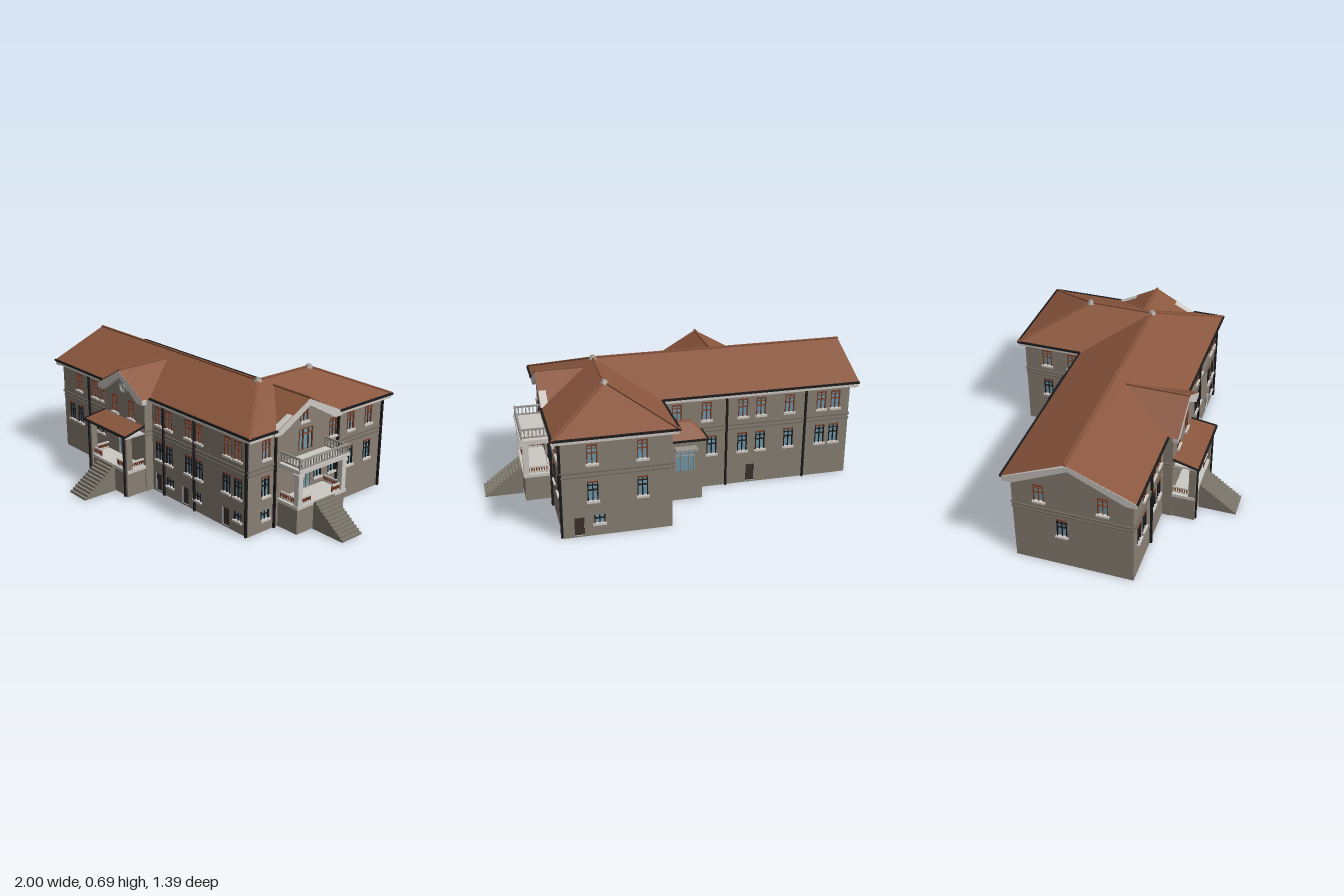
import * as THREE from 'three';

const mat = (name, color, side = THREE.FrontSide) => {
  const m = new THREE.MeshStandardMaterial({ color, side });
  m.name = name;
  return m;
};

export function createModel() {
  const D = THREE.DoubleSide;
  const wallM = mat('taupe wall', 0x898074, D), roofM = mat('terracotta roof', 0x8a563d, D);
  const trimM = mat('pale trim', 0xcdc8c3), glassM = mat('blue glass', 0x6f98aa, D);
  const blackM = mat('black metal', 0x1d1b1b), brownM = mat('red brown frame', 0x7c412b);
  const darkM = mat('dark door', 0x3b302c, D), stepM = mat('stair stone', 0x7f796e);
  const beltM = mat('belt stone', 0x716a60), stoneM = mat('grey stone', 0x9a958f);

  const model = new THREE.Group();
  model.name = 'building';
  const add = (parent, name, geo, m) => {
    const mesh = new THREE.Mesh(geo, m);
    mesh.name = name;
    parent.add(mesh);
    return mesh;
  };
  // Box given by its limits on each axis
  const box = (parent, name, m, x0, x1, y0, y1, z0, z1) => {
    const b = add(parent, name, new THREE.BoxGeometry(x1 - x0, y1 - y0, z1 - z0), m);
    b.position.set((x0 + x1) / 2, (y0 + y1) / 2, (z0 + z1) / 2);
    return b;
  };
  // Square bar between two points
  const bar = (parent, name, m, a, b, t) => {
    const p = new THREE.Vector3(...a), q = new THREE.Vector3(...b);
    const s = add(parent, name, new THREE.BoxGeometry(t, t, p.distanceTo(q)), m);
    s.position.copy(p).add(q).multiplyScalar(0.5);
    s.lookAt(q);
    return s;
  };
  // Flat faces, each a fan of corner points
  const faces = (parent, name, m, polys) => {
    const pos = [];
    for (const p of polys)
      for (let i = 1; i < p.length - 1; i++) pos.push(...p[0], ...p[i], ...p[i + 1]);
    const g = new THREE.BufferGeometry();
    g.setAttribute('position', new THREE.Float32BufferAttribute(pos, 3));
    g.computeVertexNormals();
    return add(parent, name, g, m);
  };

  // ---- Openings, drawn in the wall's own frame (x along, y up, z outwards)
  const pane = (wall, name, m, u, y, w, h) =>
    add(wall, name, new THREE.PlaneGeometry(w, h), m).position.set(u, y + h / 2, -0.006);
  const sash = (wall, [u, y, w, h], frame) => {
    const g = new THREE.Group();
    g.name = 'window';
    wall.add(g);
    pane(g, 'glass', glassM, u, y, w, h);
    const t = 0.005, a = u - w / 2, b = u + w / 2;
    box(g, 'leftJamb', frame, a, a + t, y, y + h, -0.007, 0.003);
    box(g, 'rightJamb', frame, b - t, b, y, y + h, -0.007, 0.003);
    box(g, 'mullion', frame, u - 0.002, u + 0.002, y, y + h, -0.007, 0.002);
    box(g, 'meetingRail', frame, a, b, y + h * 0.52, y + h * 0.52 + t, -0.007, 0.002);
    box(g, 'sill', trimM, a - 0.006, b + 0.006, y - 0.011, y, -0.007, 0.012);
    if (h > 0.07) {
      box(g, 'lintel', brownM, a, b, y + h - 0.008, y + h, -0.007, 0.004);
      box(g, 'upperBar', frame, a, b, y + h * 0.77, y + h * 0.77 + 0.003, -0.007, 0.002);
    }
  };
  const glassDoor = (wall, [u, y, w, h], frame) => {
    pane(wall, 'doorGlass', glassM, u, y, w, h);
    for (const k of [-0.5, -0.2, 0.2, 0.5])
      box(wall, 'doorFrame', frame, u + k * w - 0.002, u + k * w + 0.002, y, y + h, -0.007, 0.003);
    box(wall, 'doorTransom', frame, u - w / 2, u + w / 2, y + h * 0.75, y + h * 0.75 + 0.004, -0.007, 0.003);
    box(wall, 'doorHead', frame, u - w / 2, u + w / 2, y + h, y + h + 0.005, -0.007, 0.003);
  };

  // ---- One wall: outline with cut openings, windows, doors, belt and downpipes
  const facade = (name, at, turn, outline, o = {}) => {
    const wall = new THREE.Group();
    wall.name = name;
    wall.position.set(...at);
    wall.rotation.y = turn;
    model.add(wall);
    const shape = new THREE.Shape(outline.map(p => new THREE.Vector2(...p)));
    const cut = ([u, y, w, h]) => shape.holes.push(new THREE.Path([
      [u - w / 2, y], [u - w / 2, y + h], [u + w / 2, y + h], [u + w / 2, y]].map(p => new THREE.Vector2(...p))));
    const W = 0.053;
    const put = (list, draw, m) => (list || []).forEach(r => { cut(r); draw(wall, r, m); });
    put((o.upper || []).map(u => [u, 0.392, W, 0.1]), sash, brownM);
    put((o.lower || []).map(u => [u, 0.193, W, 0.105]), sash, blackM);
    put((o.low || []).map(u => [u, 0.068, 0.055, 0.045]), sash, blackM);
    put(o.attic, sash, brownM);
    put(o.glassDoors, glassDoor, stoneM);
    put(o.balconyDoors, glassDoor, brownM);
    put((o.doors || []).map(u => [u, 0.008, 0.05, 0.097]), (w, r) => pane(w, 'serviceDoor', darkM, ...r));
    if (o.round) {
      const [u, y, r] = o.round;
      shape.holes.push(new THREE.Path().absarc(u, y, r, 0, Math.PI * 2, true));
      add(wall, 'roundGlass', new THREE.CircleGeometry(r, 24), glassM).position.set(u, y, -0.006);
      add(wall, 'roundFrame', new THREE.TorusGeometry(r, 0.007, 6, 24), stoneM).position.set(u, y, 0);
      box(wall, 'roundBar', stoneM, u - r, u + r, y - 0.002, y + 0.002, -0.005, 0.002);
      box(wall, 'roundBar', stoneM, u - 0.002, u + 0.002, y - r, y + r, -0.005, 0.002);
    }
    add(wall, 'wallFace', new THREE.ShapeGeometry(shape, 24), wallM);
    const us = outline.map(p => p[0]), a = Math.min(...us), b = Math.max(...us);
    if (!o.plain) {
      box(wall, 'belt', beltM, a, b, 0.345, 0.352, 0, 0.008);
      box(wall, 'belt', beltM, a, b, 0.322, 0.328, 0, 0.005);
    }
    for (const u of o.pipes || []) box(wall, 'downpipe', blackM, u - 0.005, u + 0.005, 0, 0.52, 0, 0.012);
    return wall;
  };
  const rect = (a, b, h = 0.53) => [[a, 0], [b, 0], [b, h], [a, h]];
  const Q = Math.PI / 2;

  facade('frontWallWest', [0, 0, 0.32], 0, rect(-0.96, -0.465),
    { upper: [-0.79, -0.63, -0.545], lower: [-0.875, -0.79, -0.63, -0.545], pipes: [-0.685] });
  facade('frontWallEast', [0, 0, 0.32], 0, rect(-0.095, 0.66), {
    upper: [-0.035, 0.05, 0.21, 0.295, 0.515, 0.59], lower: [-0.035, 0.05, 0.21, 0.295, 0.505, 0.59],
    low: [0.055, 0.28, 0.59], doors: [-0.045, 0.18, 0.5], pipes: [0.008, 0.26, 0.653] });
  facade('frontGableWall', [0, 0, 0.37], 0,
    [[-0.465, 0], [-0.095, 0], [-0.095, 0.53], [-0.28, 0.643], [-0.465, 0.53]],
    { upper: [-0.36, -0.21], glassDoors: [[-0.28, 0.157, 0.11, 0.125]], round: [-0.28, 0.555, 0.032] });
  facade('frontGableSideWest', [-0.465, 0, 0], -Q, rect(0.32, 0.37));
  facade('frontGableSideEast', [-0.095, 0, 0], Q, rect(-0.37, -0.32));
  facade('eastWall', [0.66, 0, 0], Q,
    [[-0.32, 0], [0.66, 0], [0.66, 0.53], [0.27, 0.53], [0.055, 0.643], [-0.16, 0.53], [-0.32, 0.53]], {
      upper: [-0.205, 0.27, 0.405, 0.545], lower: [-0.205, 0.165, 0.27, 0.405, 0.545], low: [-0.205],
      attic: [[0.053, 0.525, 0.055, 0.075]], balconyDoors: [[0.07, 0.37, 0.095, 0.11]],
      glassDoors: [[0.065, 0.157, 0.1, 0.13]], pipes: [-0.145, 0.305, 0.65] });
  facade('wingBackWall', [0, 0, -0.66], Math.PI, rect(-0.66, -0.115),
    { upper: [-0.51, -0.265], lower: [-0.51, -0.265], low: [-0.48], doors: [-0.58] });
  facade('wingWestWall', [0.115, 0, 0], -Q, rect(-0.66, -0.29), { upper: [-0.53, -0.38], lower: [-0.53], low: [-0.53] });
  facade('mainBackWall', [0, 0, -0.29], Math.PI, rect(-0.115, 0.96), {
    upper: [0.0, 0.16, 0.36, 0.46, 0.62, 0.8, 0.88], lower: [0.19, 0.36, 0.46, 0.62, 0.8, 0.88],
    doors: [0.41], pipes: [0.27, 0.71] });
  facade('westWall', [-0.96, 0, 0], -Q, [[-0.29, 0], [0.32, 0], [0.32, 0.53], [0.015, 0.665], [-0.29, 0.53]],
    { upper: [-0.15, 0.17], lower: [-0.04] });

  // ---- L-shaped hipped roof, notched where the two gables run in
  const E = 0.535, R = 0.68, G = 0.655;
  const A = [-1, E, 0.35], B = [0.7, E, 0.35], C = [0.7, E, -0.69], Dn = [0.085, E, -0.69];
  const V = [0.085, E, -0.32], W = [-1, E, -0.32], P = [-1, R, 0.005], K = [0.385, R, 0.005], S = [0.39, R, -0.36];
  const f1 = [-0.49, E, 0.35], f2 = [-0.075, E, 0.35], fa = [-0.28, G, 0.064];
  const e1 = [0.7, E, 0.17], e2 = [0.7, E, -0.28], ea = [0.439, G, -0.055];
  faces(model, 'mainRoof', roofM, [
    [A, f1, fa, P], [f2, B, K, fa], [fa, K, P], [B, e1, ea, K], [ea, S, K], [e2, C, S, ea],
    [C, Dn, S], [Dn, V, K, S], [V, W, P, K]]);
  const fr = [-0.28, G, 0.4], er = [0.7, G, -0.055];
  faces(model, 'frontGableRoof', roofM, [[[-0.49, E, 0.4], fr, fa, f1], [fr, [-0.075, E, 0.4], f2, fa]]);
  faces(model, 'eastGableRoof', roofM, [[e1, er, ea], [er, e2, ea]]);
  for (const [a, b] of [[P, K], [K, S], [K, B], [S, C], [S, Dn], [fr, fa], [er, ea]]) bar(model, 'ridgeTiles', roofM, a, b, 0.012);
  for (const p of [K, S]) {
    const cap = add(model, 'ridgeCap', new THREE.CylinderGeometry(0.012, 0.024, 0.018, 8), stoneM);
    cap.position.set(p[0], R + 0.004, p[2]);
  }

  // ---- Eaves: pale cornice strips and black gutters
  for (const [x0, x1, z0, z1] of [
    [-0.995, -0.465, 0.32, 0.345], [-0.095, 0.695, 0.32, 0.345], [-0.995, 0.115, -0.315, -0.29],
    [0.09, 0.695, -0.685, -0.66], [0.09, 0.115, -0.66, -0.315], [0.66, 0.695, 0.19, 0.32], [0.66, 0.695, -0.66, -0.3]])
    box(model, 'cornice', trimM, x0, x1, 0.512, 0.532, z0, z1);
  for (const [a, b] of [[A, f1], [f2, B], [B, e1], [e2, C], [C, Dn], [Dn, V], [V, W]]) bar(model, 'gutter', blackM, a, b, 0.01);

  // ---- Raking pediment trims
  const pediment = (name, at, turn, w, h, depth, band) => {
    const f = 0.05, s = new THREE.Shape([[-w, 0], [-w, -0.025], [-w + f, -0.025], [0, h - band], [w - f, -0.025],
      [w, -0.025], [w, 0], [0, h]].map(p => new THREE.Vector2(...p)));
    const m = add(model, name, new THREE.ExtrudeGeometry(s, { depth, bevelEnabled: false }), trimM);
    m.position.set(...at);
    m.rotation.y = turn;
  };
  pediment('frontPediment', [-0.28, E - 0.003, 0.37], 0, 0.205, 0.118, 0.028, 0.035);
  pediment('eastPediment', [0.66, E - 0.003, -0.055], Q, 0.24, 0.118, 0.038, 0.035);
  pediment('westPediment', [-0.96, E - 0.003, 0.015], -Q, 0.33, 0.14, 0.038, 0.03);

  // ---- Stairs and low railings
  const stairs = (name, at, turn, width, run, top) => {
    const g = new THREE.Group(), n = 12;
    g.name = name;
    g.position.set(...at);
    g.rotation.y = turn;
    model.add(g);
    for (let i = 0; i < n; i++)
      box(g, 'step', stepM, -width / 2, width / 2, 0, top * (1 - i / n), run * i / n, run * (i + 1) / n);
  };
  stairs('frontStairs', [-0.285, 0, 0.49], 0, 0.14, 0.2, 0.15);
  stairs('eastStairs', [0.8, 0, -0.065], Q, 0.14, 0.2, 0.15);
  const railing = (name, m, postM, a, b, y0, y1, n) => {
    const g = new THREE.Group();
    g.name = name;
    model.add(g);
    bar(g, 'topRail', m, [a[0], y1, a[1]], [b[0], y1, b[1]], 0.009);
    bar(g, 'bottomRail', m, [a[0], y0 + 0.005, a[1]], [b[0], y0 + 0.005, b[1]], 0.007);
    for (let i = 0; i <= n; i++) {
      const x = a[0] + (b[0] - a[0]) * i / n, z = a[1] + (b[1] - a[1]) * i / n;
      box(g, 'baluster', postM, x - 0.003, x + 0.003, y0, y1, z - 0.003, z + 0.003);
    }
  };

  // ---- Front porch
  box(model, 'frontPorchBase', wallM, -0.46, -0.1, 0, 0.135, 0.37, 0.485);
  box(model, 'frontPorchFloor', trimM, -0.465, -0.095, 0.135, 0.152, 0.37, 0.49);
  for (const x of [-0.443, -0.117]) {
    box(model, 'frontPorchColumn', wallM, x - 0.018, x + 0.018, 0, 0.335, 0.456, 0.492);
    box(model, 'frontPorchPipe', blackM, x - 0.005, x + 0.005, 0, 0.335, 0.492, 0.5);
    railing('frontSideRail', trimM, brownM, [x, 0.37], [x, 0.456], 0.152, 0.185, 7);
  }
  railing('frontRailWest', trimM, brownM, [-0.425, 0.474], [-0.36, 0.474], 0.152, 0.185, 6);
  railing('frontRailEast', trimM, brownM, [-0.21, 0.474], [-0.135, 0.474], 0.152, 0.185, 6);
  box(model, 'frontPorchBeam', trimM, -0.462, -0.098, 0.333, 0.345, 0.37, 0.495);
  const porchRoof = [[-0.472, 0.35, 0.507], [-0.09, 0.35, 0.507], [-0.1, 0.378, 0.37], [-0.462, 0.378, 0.37]];
  faces(model, 'frontPorchRoof', roofM, [porchRoof]);
  bar(model, 'porchGutter', blackM, porchRoof[0], porchRoof[1], 0.01);
  bar(model, 'porchGutter', blackM, porchRoof[1], porchRoof[2], 0.008);
  bar(model, 'porchGutter', blackM, porchRoof[3], porchRoof[0], 0.008);

  // ---- East porch with balcony
  box(model, 'eastPorchBase', wallM, 0.66, 0.795, 0, 0.135, -0.225, 0.115);
  box(model, 'eastPorchFloor', trimM, 0.66, 0.802, 0.135, 0.152, -0.232, 0.12);
  box(model, 'balconyBeam', trimM, 0.66, 0.8, 0.32, 0.337, -0.23, 0.112);
  box(model, 'balconySlab', trimM, 0.66, 0.812, 0.337, 0.35, -0.242, 0.124);
  for (const z of [0.1, -0.212]) {
    box(model, 'eastColumn', trimM, 0.77, 0.8, 0.152, 0.32, z - 0.015, z + 0.015);
    box(model, 'columnCapital', trimM, 0.764, 0.805, 0.307, 0.322, z - 0.021, z + 0.021);
    railing('eastSideRail', trimM, brownM, [0.665, z], [0.77, z], 0.152, 0.185, 8);
    railing('balconySideRail', stoneM, stoneM, [0.665, z], [0.803, z], 0.35, 0.398, 7);
  }
  railing('eastRailSouth', trimM, brownM, [0.785, 0.085], [0.785, 0.015], 0.152, 0.185, 6);
  railing('eastRailNorth', trimM, brownM, [0.785, -0.145], [0.785, -0.197], 0.152, 0.185, 5);
  railing('balconyFrontRail', stoneM, stoneM, [0.803, 0.115], [0.803, -0.232], 0.35, 0.398, 18);

  // ---- Rear annexe with its small hipped roof and door canopy
  facade('annexeBackWall', [0, 0, -0.405], Math.PI, rect(-0.115, 0.11, 0.34),
    { plain: true, glassDoors: [[0.015, 0.165, 0.1, 0.115]] });
  facade('annexeWestWall', [-0.11, 0, 0], -Q, rect(-0.405, -0.29, 0.34), { plain: true });
  const a0 = [0.115, 0.345, -0.43], a1 = [-0.13, 0.345, -0.43], a2 = [-0.13, 0.345, -0.29];
  const t0 = [0.115, 0.405, -0.32], t1 = [-0.07, 0.405, -0.32], t2 = [-0.07, 0.405, -0.29], t3 = [0.115, 0.405, -0.29];
  faces(model, 'annexeRoof', roofM, [[a0, a1, t1, t0], [a1, a2, t2, t1], [t0, t1, t2, t3]]);
  bar(model, 'annexeGutter', blackM, a0, a1, 0.009);
  bar(model, 'annexeGutter', blackM, a1, a2, 0.009);
  box(model, 'annexeCanopy', stoneM, -0.072, 0.045, 0.295, 0.307, -0.455, -0.405);
  return model;
}
